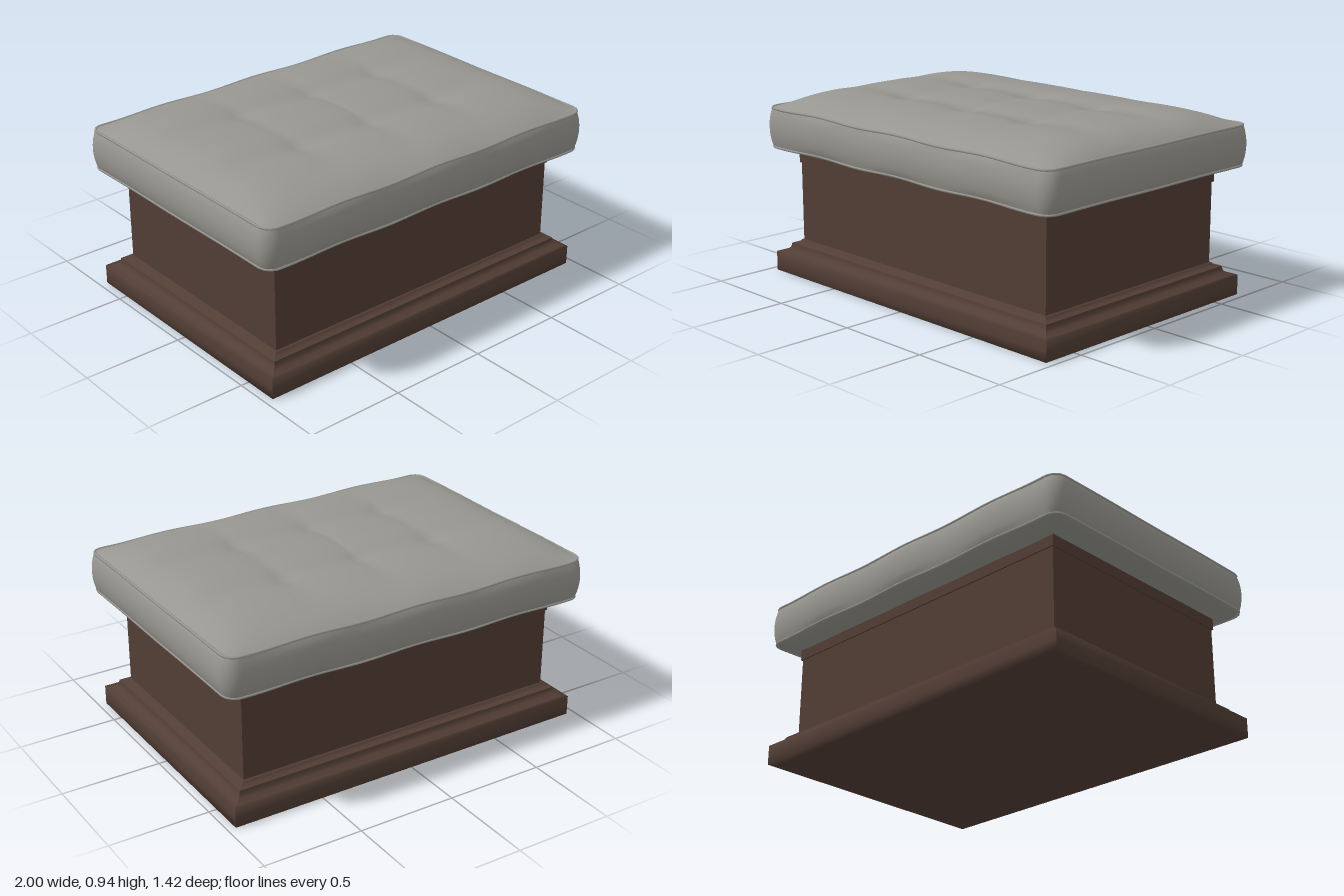
import * as THREE from 'three';

const brown = new THREE.MeshStandardMaterial({ color: 0x523e35 });
brown.name = 'darkWood';
const grey = new THREE.MeshStandardMaterial({ color: 0x979690 });
grey.name = 'greyLeather';

// Rounded rectangle outline as [x, z] points, always with the same point count
function outline(a, b, r, arcSteps = 6, sideSteps = 24) {
  const pts = [];
  const corners = [[1, 1], [-1, 1], [-1, -1], [1, -1]];
  const arc = (k, i) => {
    const t = (k + i / arcSteps) * Math.PI / 2;
    return [corners[k][0] * (a - r) + r * Math.cos(t), corners[k][1] * (b - r) + r * Math.sin(t)];
  };
  for (let k = 0; k < 4; k++) {
    for (let i = 0; i <= arcSteps; i++) pts.push(arc(k, i));
    const p = arc(k, arcSteps), q = arc((k + 1) % 4, 0);
    for (let i = 1; i < sideSteps; i++) {
      const f = i / sideSteps;
      pts.push([p[0] + (q[0] - p[0]) * f, p[1] + (q[1] - p[1]) * f]);
    }
  }
  return pts;
}

// Skin a list of rings (each a list of [x, y, z]) running upward or inward over the top
function skin(rings, closed = true) {
  const n = rings[0].length, index = [];
  for (let i = 0; i < rings.length - 1; i++) {
    for (let j = 0; j < (closed ? n : n - 1); j++) {
      const k = (j + 1) % n;
      const a = i * n + j, b = a + n, c = i * n + k, d = c + n;
      index.push(a, b, c, b, d, c);
    }
  }
  const g = new THREE.BufferGeometry();
  g.setAttribute('position', new THREE.Float32BufferAttribute(rings.flat(2), 3));
  g.setIndex(index);
  g.computeVertexNormals();
  return g;
}

function add(group, name, geometry, material, x = 0, y = 0, z = 0) {
  const m = new THREE.Mesh(geometry, material);
  m.name = name;
  m.position.set(x, y, z);
  group.add(m);
  return m;
}

// Soft unevenness of the cushion's edge
const wobble = (x, z) => 0.004 * Math.cos(x * 11) * Math.cos(z * 9);
const seamA = 0.978, seamB = 0.688, topSeam = 0.855, lowSeam = 0.658;

// Height of the tufted cushion top
function topHeight(x, z) {
  const u = Math.min(1, Math.abs(x) / seamA), v = Math.min(1, Math.abs(z) / seamB);
  const dome = (1 - u ** 10) * (1 - v ** 5);
  const dz = Math.abs(z) - 0.22;
  const trough = Math.exp(-((dz / 0.08) ** 2)) * (1 - u ** 4);
  let crease = 0, tuft = 0;
  for (const cx of [-0.42, 0, 0.42]) {
    const dx = x - cx;
    crease += Math.exp(-Math.abs(dx) / 0.09);
    tuft += Math.exp(-(dx * dx + dz * dz) / 0.005);
  }
  return topSeam + wobble(x, z) * (1 - dome)
    + dome * (0.084 - 0.016 * trough - 0.014 * crease * (1 - v ** 3) - 0.008 * tuft);
}

function buildCushion() {
  const g = new THREE.Group();
  g.name = 'cushion';
  const edge = outline(seamA, seamB, 0.06);

  // Tufted top, from the seam to the centre
  const top = [];
  for (let i = 0; i <= 40; i++) {
    const s = 1 - (i / 40) ** 1.2;
    top.push(edge.map(([x, z]) => [x * s, topHeight(x * s, z * s), z * s]));
  }
  add(g, 'cushionTop', skin(top), grey);

  // Bulging sides between the two seams
  const sides = [];
  for (let i = 0; i <= 10; i++) {
    const t = i / 10, d = 0.02 * Math.sin(Math.PI * t) ** 0.7;
    sides.push(outline(seamA + d, seamB + d, 0.06 + d).map(([x, z]) => [
      x, lowSeam + (topSeam - lowSeam) * t + wobble(x, z), z + Math.sign(z) * wobble(x, 0) * Math.abs(z)]));
  }
  // Keep the bulge joined to the seams
  for (const k of [0, 10]) sides[k] = edge.map(([x, z]) => [x, (k ? topSeam : lowSeam) + wobble(x, z), z]);
  add(g, 'cushionSides', skin(sides), grey);

  // Underside curving in toward the box
  const under = [[0, 0.622], [0.8, 0.622], [0.87, 0.625], [0.92, 0.632], [0.97, 0.645], [1, lowSeam]]
    .map(([s, y]) => edge.map(([x, z]) => [x * s, y + wobble(x, z) * s ** 8, z * s]));
  add(g, 'cushionUnderside', skin(under), grey);

  // Piping along both seams
  for (const [name, y] of [['upperPiping', topSeam], ['lowerPiping', lowSeam]]) {
    const path = new THREE.CatmullRomCurve3(
      edge.map(([x, z]) => new THREE.Vector3(x, y + wobble(x, z), z)), true);
    add(g, name, new THREE.TubeGeometry(path, 240, 0.007, 6, true), grey);
  }
  return g;
}

function buildBase() {
  const g = new THREE.Group();
  g.name = 'base';
  const a = 0.858, b = 0.577;
  add(g, 'boxBody', new THREE.BoxGeometry(2 * a, 0.48, 2 * b), brown, 0, 0.39, 0);
  add(g, 'topBand', new THREE.BoxGeometry(2 * a + 0.014, 0.06, 2 * b + 0.014), brown, 0, 0.6, 0);

  // Four mitred moulding runs: [outward offset, height]
  const runs = {
    plinth: [[0.06, 0], [0.101, 0], [0.101, 0.05], [0.101, 0.1], [0.08, 0.103]],
    lowerMoulding: [[0.08, 0.103], [0.073, 0.107], [0.06, 0.113], [0.05, 0.122], [0.046, 0.135], [0.044, 0.145]],
    upperMoulding: [[0.044, 0.145], [0.02, 0.15], [0.012, 0.157], [0.008, 0.164], [0, 0.165]],
  };
  const corners = [[1, -1], [1, 1], [-1, 1], [-1, -1]];
  for (const [name, profile] of Object.entries(runs)) {
    for (let k = 0; k < 4; k++) {
      const ends = [corners[k], corners[(k + 1) % 4]];
      const rings = profile.map(([d, y]) => ends.map(([sx, sz]) => [sx * (a + d), y, sz * (b + d)]));
      add(g, name, skin(rings, false), brown);
    }
  }
  const floor = add(g, 'baseUnderside', new THREE.PlaneGeometry(2 * a + 0.2, 2 * b + 0.2), brown);
  floor.rotation.x = Math.PI / 2;
  return g;
}

export function createModel() {
  const model = new THREE.Group();
  model.name = 'ottoman';
  model.add(buildBase(), buildCushion());
  return model;
}
